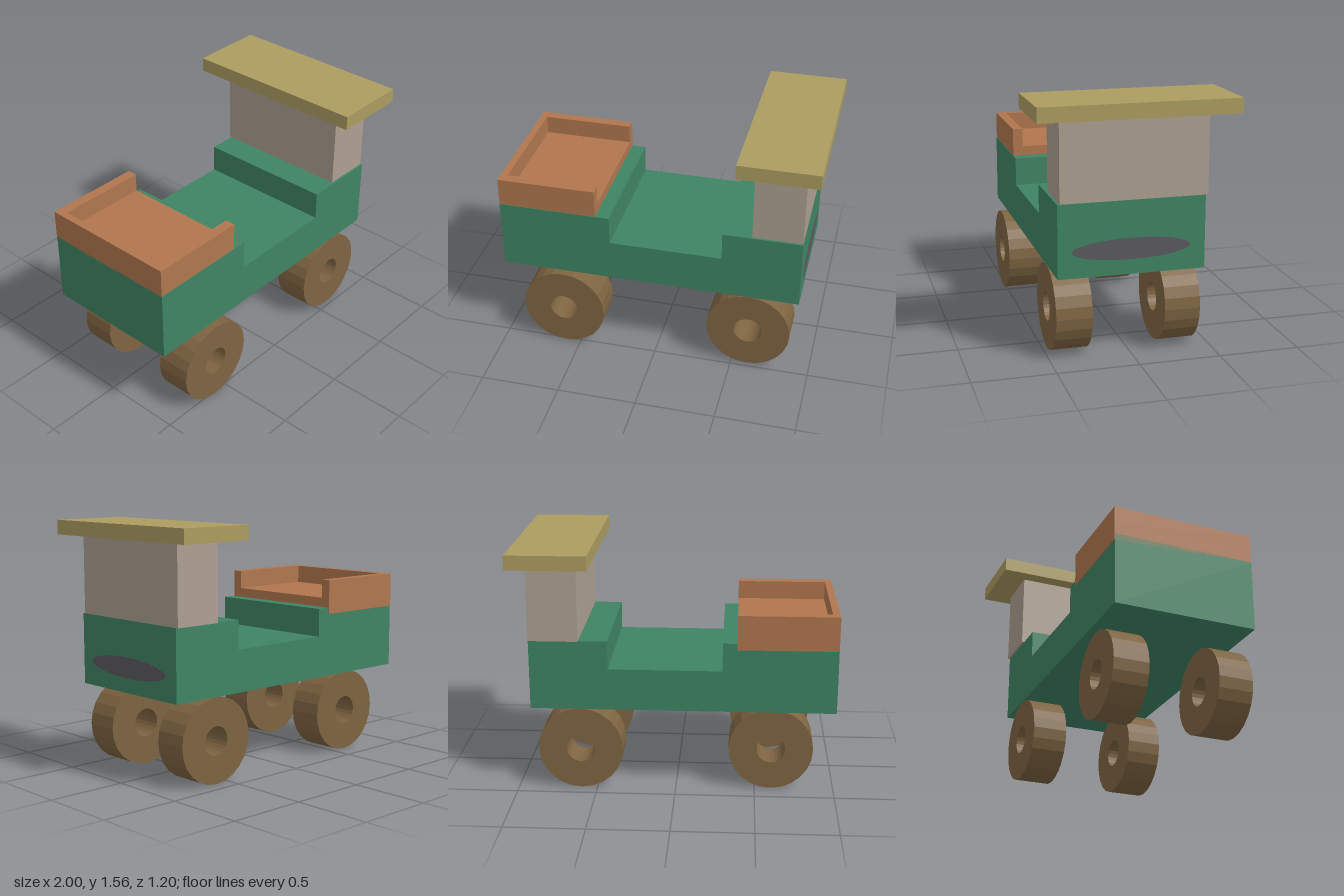
import * as THREE from 'three';

const paint = (color) => new THREE.MeshStandardMaterial({ color, flatShading: true });
const green = paint(0x3f8464);
const orange = paint(0xb0764e);
const straw = paint(0xac9c60);
const taupe = paint(0xac9f90);
const brown = paint(0x7e6441);
const grey = paint(0x5a5a5f);

// Box given by its limits on each axis
function box(name, material, [x0, x1], [y0, y1], [z0, z1]) {
  const mesh = new THREE.Mesh(new THREE.BoxGeometry(x1 - x0, y1 - y0, z1 - z0), material);
  mesh.position.set((x0 + x1) / 2, (y0 + y1) / 2, (z0 + z1) / 2);
  mesh.name = name;
  return mesh;
}

// Outline in the given plane, pushed along z from z0 to z1
function extrude(name, material, shape, z0, z1, curveSegments = 12) {
  const geometry = new THREE.ExtrudeGeometry(shape, { depth: z1 - z0, bevelEnabled: false, curveSegments });
  geometry.translate(0, 0, z0);
  const mesh = new THREE.Mesh(geometry, material);
  mesh.name = name;
  return mesh;
}

export function createModel() {
  const model = new THREE.Group();
  model.name = 'toyTruck';

  // Body block with a notch in its top
  const profile = [[-1, 0.535], [0.91, 0.535], [0.91, 0.98], [0.42, 0.98],
    [0.42, 0.8], [-0.29, 0.8], [-0.29, 0.98], [-1, 0.98]];
  const bodyShape = new THREE.Shape(profile.map(([x, y]) => new THREE.Vector2(x, y)));
  model.add(extrude('body', green, bodyShape, -0.418, 0.47));

  // Windscreen block and overhanging roof
  model.add(box('windscreen', taupe, [0.6, 0.908], [0.98, 1.468], [-0.433, 0.456]));
  model.add(box('roof', straw, [0.51, 1], [1.467, 1.557], [-0.6, 0.6]));

  // Oval grille on the nose
  const grille = new THREE.Mesh(new THREE.CylinderGeometry(1, 1, 1, 32), grey);
  grille.name = 'grille';
  grille.rotation.z = -Math.PI / 2;
  grille.scale.set(0.065, 0.012, 0.355);
  grille.position.set(0.906, 0.69, 0.03);
  model.add(grille);

  // Cargo tray, open towards the seat
  const tray = new THREE.Group();
  tray.name = 'tray';
  tray.add(box('trayFloor', orange, [-1, -0.38], [0.94, 1.04], [-0.421, 0.467]));
  tray.add(box('trayBack', orange, [-1, -0.955], [1.04, 1.158], [-0.421, 0.467]));
  tray.add(box('traySideRight', orange, [-0.955, -0.38], [1.04, 1.158], [0.402, 0.467]));
  tray.add(box('traySideLeft', orange, [-0.955, -0.38], [1.04, 1.158], [-0.421, -0.358]));
  model.add(tray);

  // Wheels with a round hole; the rear pair sits slightly further along z
  const wheelShape = new THREE.Shape().absarc(0, 0, 0.267, 0, Math.PI * 2);
  wheelShape.holes.push(new THREE.Path().absarc(0, 0, 0.09, 0, Math.PI * 2, true));
  for (const [x, shift] of [[0.6, 0], [-0.6, 0.046]]) {
    for (const z of [0.36, -0.305]) {
      const wheel = extrude('wheel', brown, wheelShape, -0.11, 0.11, 12);
      wheel.position.set(x, 0.268, z + shift);
      model.add(wheel);
    }
  }
  return model;
}
